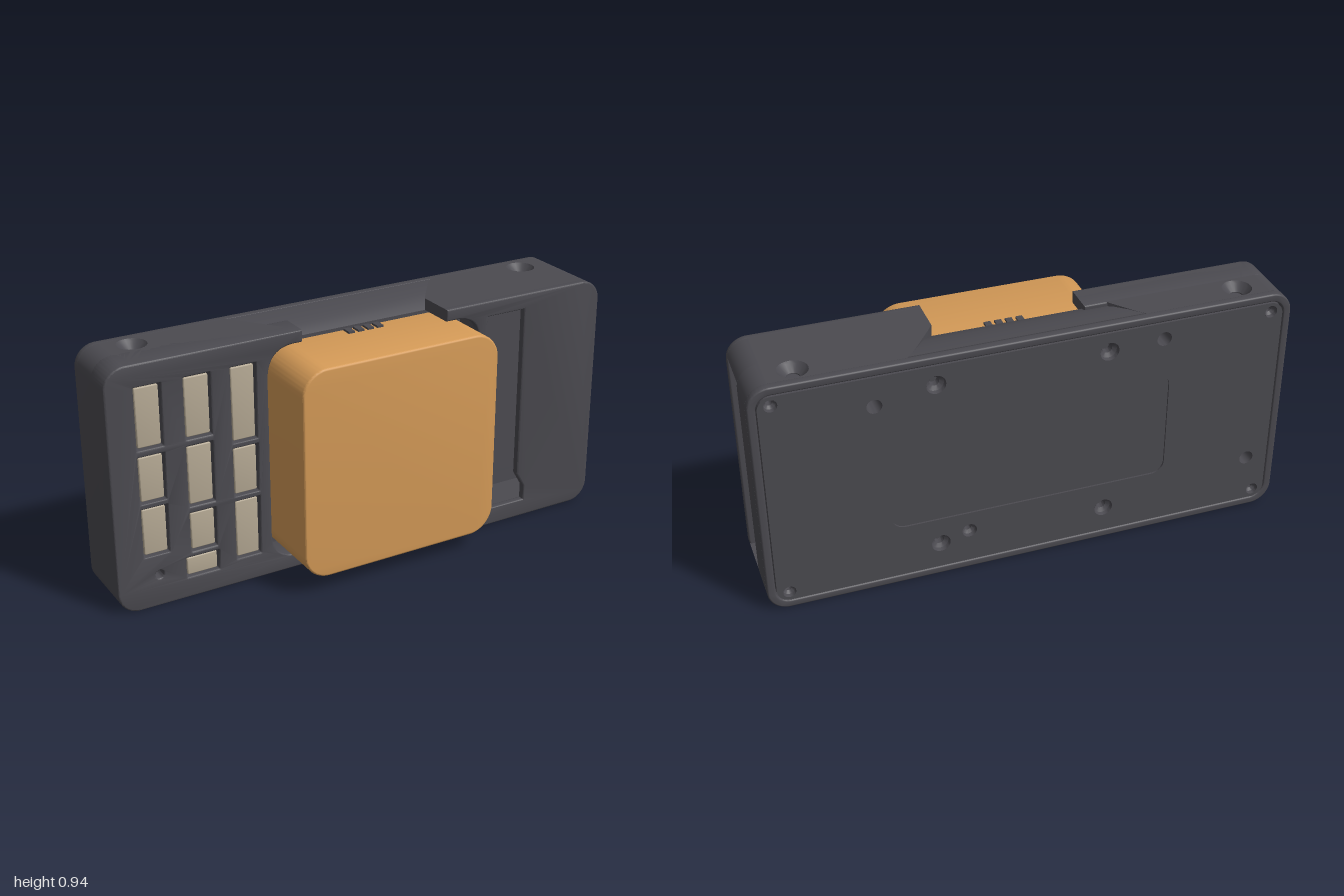
import * as THREE from 'three';
import { toCreasedNormals } from 'three/addons/utils/BufferGeometryUtils.js';

const H = 0.94;

// Closed shape from corner points
const poly = (pts) => new THREE.Shape(pts.map(([x, y]) => new THREE.Vector2(x, y)));

// Rounded rectangle from its bounds
function roundRect(x0, x1, y0, y1, r, Kind = THREE.Shape) {
  const s = new Kind();
  s.moveTo(x0 + r, y0).lineTo(x1 - r, y0);
  s.absarc(x1 - r, y0 + r, r, -Math.PI / 2, 0);
  s.lineTo(x1, y1 - r);
  s.absarc(x1 - r, y1 - r, r, 0, Math.PI / 2);
  s.lineTo(x0 + r, y1);
  s.absarc(x0 + r, y1 - r, r, Math.PI / 2, Math.PI);
  s.lineTo(x0, y0 + r);
  s.absarc(x0 + r, y0 + r, r, Math.PI, Math.PI * 1.5);
  return s;
}

function circle(x, y, r) {
  const p = new THREE.Path();
  p.absarc(x, y, r, 0, Math.PI * 2);
  return p;
}

// Extrude from a0 to a1 with an optional edge bevel inside the outline
function extrude(shape, a0, a1, bevel = 0) {
  const g = new THREE.ExtrudeGeometry(shape, {
    depth: a1 - a0 - 2 * bevel, curveSegments: 12, bevelEnabled: bevel > 0,
    bevelThickness: bevel, bevelSize: bevel, bevelOffset: -bevel, bevelSegments: 3,
  });
  g.translate(0, 0, a0 + bevel);
  return g;
}

export function createModel() {
  const model = new THREE.Group();
  const mat = (name, color, side = THREE.FrontSide) => {
    const m = new THREE.MeshStandardMaterial({ color, side });
    m.name = name;
    return m;
  };
  const grey = mat('dark grey plastic', 0x4b4a50, THREE.DoubleSide);
  const orange = mat('orange', 0xd49a57);
  const beige = mat('beige', 0xb5a994);
  const add = (name, geo, material) => {
    const mesh = new THREE.Mesh(toCreasedNormals(geo, 0.6), material);
    mesh.name = name;
    model.add(mesh);
    return mesh;
  };
  const box = (name, x0, x1, y0, y1, z0, z1, material) => {
    const g = new THREE.BoxGeometry(x1 - x0, y1 - y0, z1 - z0);
    g.translate((x0 + x1) / 2, (y0 + y1) / 2, (z0 + z1) / 2);
    return add(name, g, material);
  };

  // Orange centre block
  add('centreBlock', extrude(roundRect(-0.375, 0.435, 0.07, 0.88, 0.1), -0.095, 0.25, 0.008), orange);
  for (let i = 0; i < 4; i++) box('ventRib', -0.05 + i * 0.04, -0.025 + i * 0.04, 0.875, 0.888, -0.04, 0.0, grey);

  // Front panel outline: s is the side, xi the inner lip, xp the pocket edge
  function panelShape(s, xi, xp) {
    const p = new THREE.Shape(), r = 0.08;
    p.moveTo(s * (1 - r), 0).lineTo(xi, 0).lineTo(xi, 0.055);
    p.lineTo(xp - s * 0.11, 0.055);
    p.quadraticCurveTo(xp, 0.055, xp, 0.165);
    p.lineTo(xp, 0.775);
    p.quadraticCurveTo(xp, 0.895, xp - s * 0.11, 0.895);
    p.lineTo(xi, 0.895).lineTo(xi, H).lineTo(s * (1 - r), H);
    const a = s > 0 ? 0 : Math.PI;
    p.absarc(s * (1 - r), H - r, r, Math.PI / 2, a, s > 0);
    p.lineTo(s, r);
    p.absarc(s * (1 - r), r, r, a, s > 0 ? -Math.PI / 2 : Math.PI * 1.5, s > 0);
    return p;
  }

  // Right-hand panel with its windows and beige inserts
  const windows = [
    [-0.895, -0.795, 0.62, 0.855], [-0.895, -0.795, 0.415, 0.595], [-0.895, -0.795, 0.205, 0.395],
    [-0.713, -0.61, 0.62, 0.855], [-0.713, -0.61, 0.36, 0.595], [-0.713, -0.61, 0.18, 0.335],
    [-0.735, -0.605, 0.08, 0.16],
    [-0.535, -0.435, 0.565, 0.855], [-0.535, -0.435, 0.355, 0.545], [-0.535, -0.435, 0.1, 0.335],
  ];
  const windowPanel = panelShape(-1, -0.25, -0.39);
  for (const [x0, x1, y0, y1] of windows) {
    windowPanel.holes.push(roundRect(x0, x1, y0, y1, 0.004, THREE.Path));
    add('windowInsert', extrude(roundRect(x0 + 0.006, x1 - 0.006, y0 + 0.006, y1 - 0.006, 0.006), -0.09, 0.01, 0.004), beige);
  }
  windowPanel.holes.push(circle(-0.84, 0.125, 0.016));
  add('windowPanel', extrude(windowPanel, -0.1, 0.02, 0.006), grey);

  // Left-hand panel with its tall slot
  const slotPanel = panelShape(1, 0.3, 0.45);
  slotPanel.holes.push(poly([[0.48, 0.07], [0.685, 0.07], [0.685, 0.13], [0.65, 0.19], [0.65, 0.88], [0.48, 0.88]]));
  add('slotPanel', extrude(slotPanel, 0.08, 0.11, 0.006), grey);
  box('pocketWall', 0.452, 0.478, 0.05, 0.89, -0.03, 0.09, grey);

  // Top and bottom walls, flared in the middle, with countersunk holes
  const walls = [
    [-1, [[-0.92, -0.22], [-0.44, -0.22], [-0.41, -0.19], [-0.29, -0.04], [-0.25, -0.02], [-0.25, 0.01], [-0.92, 0.01]]],
    [1, [[0.92, -0.22], [0.44, -0.22], [0.41, -0.19], [0.32, -0.07], [0.3, -0.04], [0.3, 0.1], [0.92, 0.1]]],
  ];
  const cone = [[0.055, 0], [0.05, -0.008], [0.024, -0.03], [0.022, -0.044], [0, -0.044]].map(([r, y]) => new THREE.Vector2(r, y));
  for (const [s, pts] of walls) {
    for (const top of [true, false]) {
      const shape = poly(pts.map(([x, z]) => [x, -z]));
      shape.holes.push(circle(s * 0.82, 0.16, 0.055));
      const y0 = top ? H - 0.045 : 0;
      add(top ? 'topWall' : 'bottomWall', extrude(shape, y0, y0 + 0.045).rotateX(-Math.PI / 2), grey);
      const g = new THREE.LatheGeometry(cone, 24);
      if (!top) g.rotateX(Math.PI);
      add('countersink', g.translate(s * 0.82, top ? H : 0, -0.16), grey);
    }
  }

  // Scooped middle of the top and bottom
  for (const top of [true, false]) {
    const profile = [[0.215, 0], [0.17, 0.002], [0.12, 0.01], [0.075, 0.023], [0.04, 0.045], [0.04, 0.058], [0.215, 0.058]];
    const g = extrude(poly(profile.map(([z, d]) => [z, top ? H - d : d])), -0.44, 0.44);
    add('middleScoop', g.rotateY(Math.PI / 2), grey);
  }

  // End walls; the left end is open in front of the pins
  const endWall = (s) => {
    const p = new THREE.Shape();
    p.moveTo(s * 0.92, 0);
    for (let i = 0; i <= 10; i++) {
      const a = (i / 10) * Math.PI / 2;
      p.lineTo(s * (0.92 + 0.08 * Math.sin(a)), 0.08 - 0.08 * Math.cos(a));
    }
    for (let i = 0; i <= 10; i++) {
      const a = (i / 10) * Math.PI / 2;
      p.lineTo(s * (0.92 + 0.08 * Math.cos(a)), 0.86 + 0.08 * Math.sin(a));
    }
    p.lineTo(s * 0.92, 0.88).lineTo(s * 0.955, 0.87).lineTo(s * 0.955, 0.07).lineTo(s * 0.92, 0.06);
    return p;
  };
  add('rightEnd', extrude(endWall(-1), -0.22, 0.01), grey);
  add('leftEnd', extrude(endWall(1), -0.22, -0.09), grey);
  for (const top of [true, false]) {
    const pts = [[0.92, 0]];
    for (let i = 1; i <= 8; i++) {
      const a = (i / 8) * 1.318;
      pts.push([0.92 + 0.08 * Math.sin(a), 0.08 - 0.08 * Math.cos(a)]);
    }
    pts.push([0.92, 0.06]);
    add('openingCorner', extrude(poly(pts.map(([x, y]) => [x, top ? H - y : y])), -0.09, 0.1), grey);
  }

  // Pin row inside the open end
  box('pinStrip', 0.9, 0.94, 0.085, 0.855, -0.1, -0.062, grey);
  for (let i = 0; i < 14; i++) {
    const y = 0.123 + i * 0.0537;
    box('pinHousing', 0.935, 0.97, y - 0.013, y + 0.013, -0.1, -0.08, grey);
    box('pin', 0.94, 0.985, y - 0.007, y + 0.007, -0.093, -0.079, beige);
  }

  // Rear rim and inset back plate
  const rim = roundRect(-1, 1, 0, H, 0.08);
  rim.holes.push(roundRect(-0.97, 0.97, 0.03, H - 0.03, 0.055, THREE.Path));
  add('rearRim', extrude(rim, -0.25, -0.215, 0.006), grey);

  const screws = [
    [0.92, 0.87, 0.024], [0.92, 0.07, 0.024], [-0.92, 0.87, 0.024], [-0.92, 0.07, 0.024],
    [0.35, 0.83, 0.036], [-0.29, 0.83, 0.036], [0.35, 0.14, 0.036], [-0.29, 0.14, 0.036], [0.24, 0.17, 0.028],
  ];
  const openHoles = [[0.57, 0.79, 0.028], [-0.5, 0.84, 0.028], [-0.88, 0.23, 0.028]];
  const plate = (z0, z1, recess) => {
    const s = roundRect(-0.966, 0.966, 0.034, H - 0.034, 0.05);
    for (const h of [...screws, ...openHoles]) s.holes.push(circle(...h));
    if (recess) s.holes.push(roundRect(-0.53, 0.53, 0.25, 0.69, 0.05, THREE.Path));
    add('backPlate', extrude(s, z0, z1), grey);
  };
  plate(-0.25, -0.243, true);
  plate(-0.243, -0.1, false);
  for (const [x, y, r] of screws) {
    const pts = [[r, -0.25], [r * 0.9, -0.235], [r * 0.5, -0.225], [r * 0.45, -0.2], [0, -0.2]];
    const g = new THREE.LatheGeometry(pts.map(([a, b]) => new THREE.Vector2(a, b)), 20);
    add('screwSeat', g.rotateX(Math.PI / 2).translate(x, y, 0), grey);
  }

  // Boss and ribs on the floor behind the slot
  const boss = new THREE.Shape();
  boss.absarc(0.57, 0.79, 0.052, 0, Math.PI * 2);
  boss.holes.push(circle(0.57, 0.79, 0.018));
  add('boss', extrude(boss, -0.1, -0.08, 0.004), grey);
  for (const y of [0.33, 0.36, 0.58]) box('floorRib', 0.46, 0.68, y - 0.005, y + 0.005, -0.1, -0.09, grey);
  for (const x of [0.51, 0.545]) box('floorRib', x - 0.004, x + 0.004, 0.36, 0.58, -0.1, -0.09, grey);

  return model;
}
